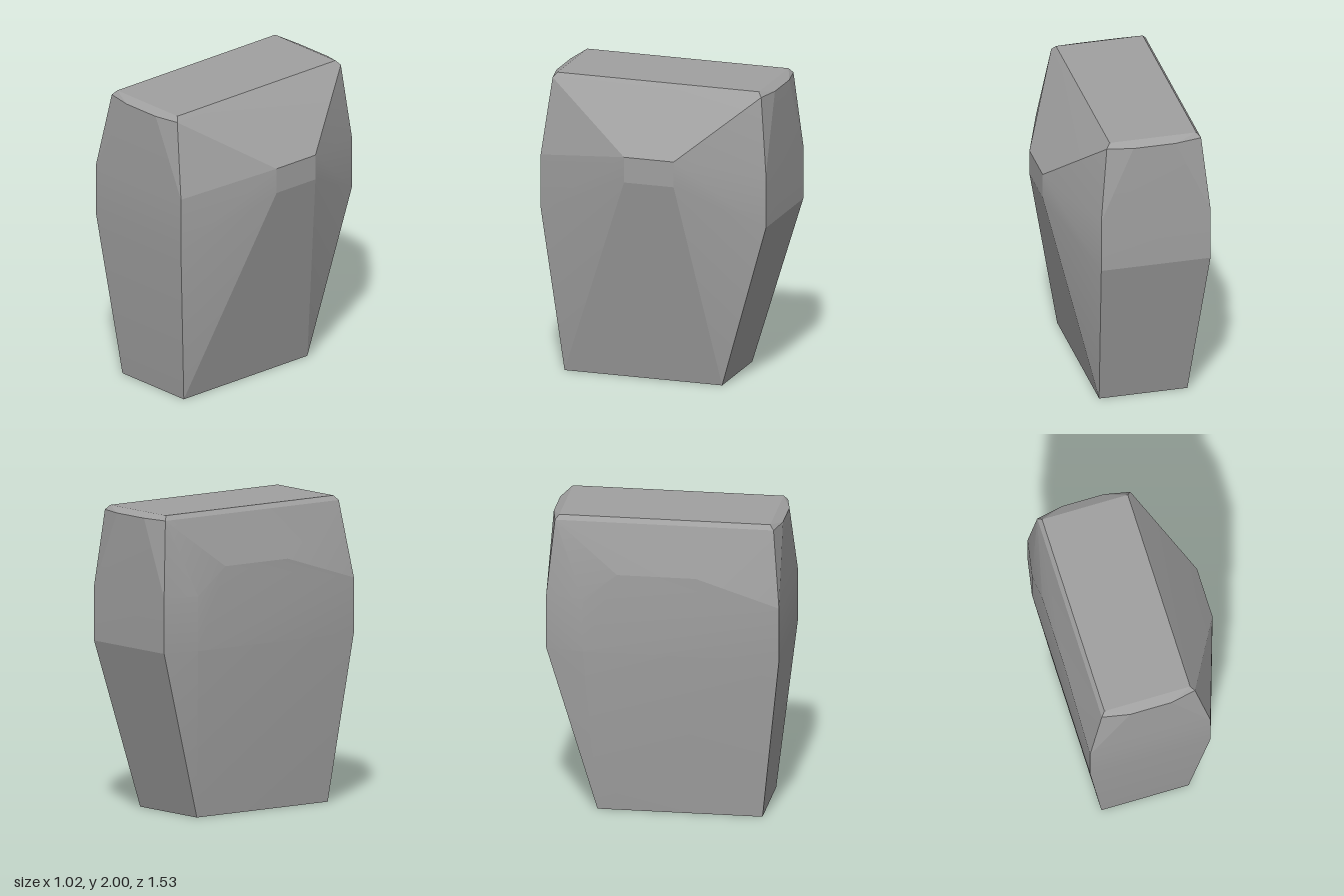
import * as THREE from 'three';
import { ConvexGeometry } from 'three/addons/geometries/ConvexGeometry.js';
import { toCreasedNormals } from 'three/addons/utils/BufferGeometryUtils.js';

const point = (x, y, z) => new THREE.Vector3(x, y, z);

export function createModel() {
  const stone = new THREE.MeshStandardMaterial({ color: 0xa0a0a0 });
  const corners = [];

  // Base, narrower than the waist
  for (const x of [-0.4, 0.19]) for (const z of [-0.44, 0.64]) corners.push(point(x, 0, z));

  // Flat top and the bevelled rim just below it, the same at both ends
  for (const end of [-1, 1]) {
    for (const x of [-0.395, 0.185]) corners.push(point(x, 2, end * 0.69));
    for (const x of [-0.42, 0.21]) corners.push(point(x, 1.97, end * 0.715));
    for (const x of [-0.24, 0.04]) corners.push(point(x, 1.97, end * 0.75));
  }

  // Upright band of the waist: front, back and right flank
  for (const y of [1.11, 1.47]) {
    corners.push(point(-0.515, y, 0.765), point(0.3, y, 0.765));
    corners.push(point(-0.47, y, -0.765), point(0.26, y, -0.765));
    corners.push(point(-0.515, y, -0.52));
  }

  // Shoulder ridge on the right flank
  for (const z of [-0.295, 0.22]) corners.push(point(-0.515, 1.645, z));

  // Bulge on the left flank
  for (const y of [1.4, 1.57]) for (const z of [-0.22, 0.12]) corners.push(point(0.51, y, z));

  // Faceted hull with crisp edges and slightly softened shallow bends
  const rock = new THREE.Mesh(toCreasedNormals(new ConvexGeometry(corners), 0.2), stone);
  rock.name = 'rock';

  const group = new THREE.Group();
  group.name = 'standingStone';
  group.add(rock);
  return group;
}
